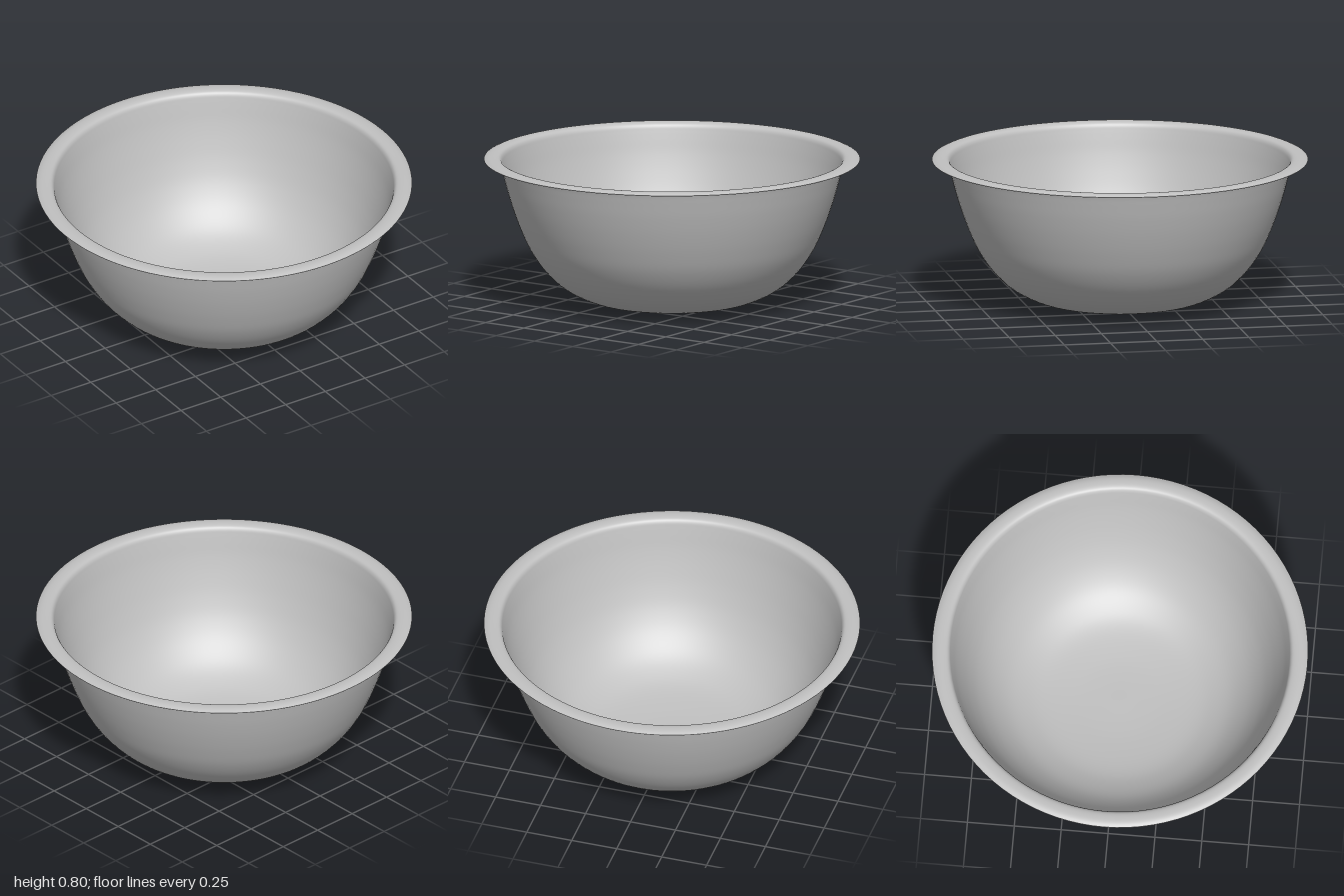
import * as THREE from 'three';

// Smooth surface of revolution through a few radius/height points
function lathePart(name, pairs, material, divisions) {
  const curve = new THREE.SplineCurve(pairs.map(([r, y]) => new THREE.Vector2(r, y)));
  const points = curve.getPoints(divisions);
  points.forEach((p) => { p.x = Math.max(0, p.x); p.y = Math.max(0, p.y); });
  const mesh = new THREE.Mesh(new THREE.LatheGeometry(points, 96), material);
  mesh.name = name;
  return mesh;
}

export function createModel() {
  const group = new THREE.Group();
  group.name = 'bowl';
  const metal = new THREE.MeshStandardMaterial({ color: 0xc0c0c0 });
  metal.name = 'brushed grey';

  // Outer wall: flat foot, round belly, steep side flaring under the rim
  const outer = [
    [0, 0], [0.12, 0], [0.25, 0.006], [0.4, 0.024], [0.5, 0.056], [0.6, 0.115], [0.69, 0.205],
    [0.76, 0.31], [0.81, 0.42], [0.85, 0.53], [0.88, 0.63], [0.9, 0.71], [0.911, 0.755],
    [0.919, 0.775], [0.935, 0.783], [0.965, 0.784], [0.998, 0.781],
  ];

  // Inner wall: the same sweep a sheet thickness inside, from the rim to the floor
  const inner = [
    [0.998, 0.785], [0.98, 0.792], [0.96, 0.795], [0.935, 0.794], [0.917, 0.788], [0.906, 0.774],
    [0.899, 0.75], [0.889, 0.71], [0.869, 0.63], [0.839, 0.532], [0.8, 0.424], [0.75, 0.316],
    [0.682, 0.213], [0.594, 0.124], [0.496, 0.066], [0.397, 0.034], [0.25, 0.016], [0.12, 0.01],
    [0, 0.01],
  ];

  group.add(lathePart('outerWall', outer, metal, 80));
  group.add(lathePart('innerWallAndRim', inner, metal, 90));

  // Rounded edge of the rim
  const edge = [[0.998, 0.781], [1, 0.783], [0.998, 0.785]];
  group.add(lathePart('rimEdge', edge, metal, 4));
  return group;
}
